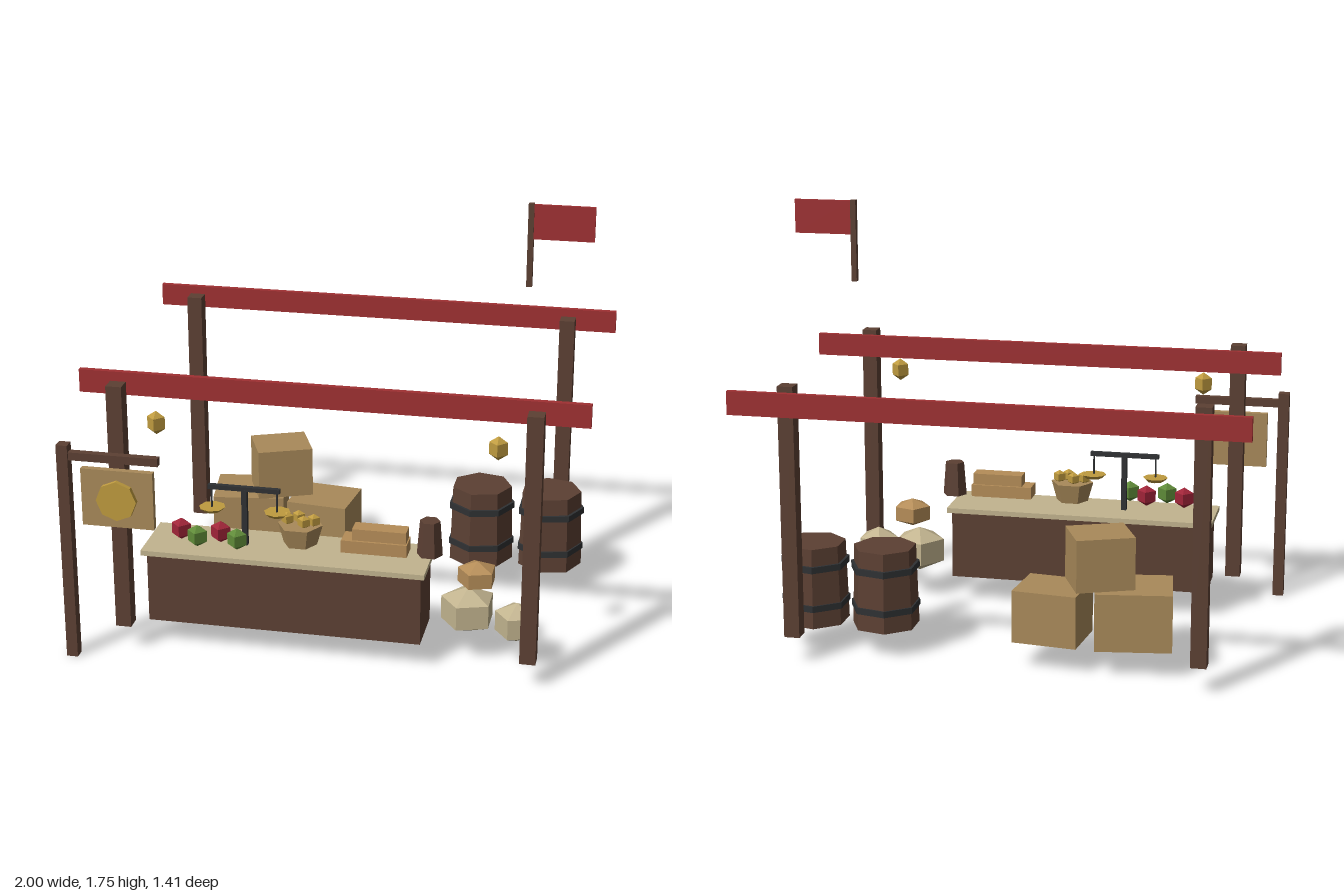
import * as THREE from 'three';

const mat = (name, color) => {
  const m = new THREE.MeshStandardMaterial({ color, flatShading: true });
  m.name = name;
  return m;
};

export function createModel() {
  const wood = mat('dark wood', 0x5c4033);
  const red = mat('red cloth', 0x9f3032);
  const linen = mat('linen', 0xc2b48f);
  const crateTan = mat('crate tan', 0xa98a5a);
  const crust = mat('crust', 0xb58d58);
  const gold = mat('gold', 0xbf9b3f);
  const iron = mat('iron', 0x2f3133);
  const appleRed = mat('apple red', 0xa02438);
  const green = mat('apple green', 0x5f8a38);

  const model = new THREE.Group();
  model.name = 'marketStall';
  const add = (name, geo, material, x, y, z, ry = 0) => {
    const m = new THREE.Mesh(geo, material);
    m.name = name;
    m.position.set(x, y, z);
    m.rotation.y = ry;
    model.add(m);
    return m;
  };
  // Box given by its x and y ranges and its z centre and depth
  const box = (name, material, x0, x1, y0, y1, z, d, ry = 0) =>
    add(name, new THREE.BoxGeometry(x1 - x0, y1 - y0, d), material, (x0 + x1) / 2, (y0 + y1) / 2, z, ry);
  // Faceted ball with two rings, given by ring radius and half height
  const ball = (name, material, x, y, z, ring, half, sides, ry = 0) => {
    const geo = new THREE.SphereGeometry(1, sides, 3);
    geo.scale(ring / 0.866, half, ring / 0.866);
    return add(name, geo, material, x, y, z, ry);
  };
  // Tapered prism standing on y
  const prism = (name, material, x, y, z, top, bottom, h, sides, ry = 0) =>
    add(name, new THREE.CylinderGeometry(top, bottom, h, sides), material, x, y + h / 2, z, ry);

  // Stall frame
  for (const x of [-0.79, 0.81])
    for (const z of [0.577, -0.55]) box('post', wood, x - 0.031, x + 0.031, 0.107, 1.115, z, 0.062);
  for (const z of [0.437, -0.69]) box('awningRail', red, -0.98, 1, 1.024, 1.116, z, 0.023);
  for (const x of [-0.65, 0.668]) ball('lantern', gold, x, 0.952, 0.53, 0.035, 0.048, 4);

  // Counter
  box('counterBody', wood, -0.708, 0.383, 0.107, 0.395, 0.413, 0.232);
  box('counterTop', linen, -0.727, 0.4, 0.395, 0.416, 0.413, 0.278);

  // Hanging sign
  box('signPost', wood, -1, -0.955, 0, 0.895, 0.672, 0.046);
  box('signArm', wood, -0.978, -0.602, 0.834, 0.866, 0.672, 0.03);
  box('signBoard', crateTan, -0.91, -0.625, 0.57, 0.803, 0.671, 0.026);
  const coin = add('signDisc', new THREE.CylinderGeometry(0.08, 0.08, 0.023, 8), gold, -0.767, 0.685, 0.6925);
  coin.rotation.x = Math.PI / 2;

  // Flag
  box('flagPole', wood, 0.695, 0.717, 1.425, 1.753, 0.016, 0.023);
  box('flag', red, 0.717, 0.95, 1.614, 1.75, 0.016, 0.012);

  // Fruit
  [-0.59, -0.51, -0.43, -0.35].forEach((x, i) =>
    ball('apple', i % 2 ? green : appleRed, x, 0.475, i % 2 ? 0.495 : 0.44, 0.039, 0.045, 4));

  // Balance
  box('balancePole', iron, -0.349, -0.327, 0.416, 0.65, 0.412, 0.022);
  box('balanceBeam', iron, -0.484, -0.195, 0.645, 0.663, 0.412, 0.02);
  for (const x of [-0.471, -0.208]) {
    box('balanceCord', iron, x - 0.003, x + 0.003, 0.565, 0.648, 0.412, 0.006);
    prism('balancePan', gold, x, 0.55, 0.408, 0.053, 0.036, 0.016, 8);
  }

  // Basket of gold fruit
  prism('basket', crateTan, -0.115, 0.444, 0.415, 0.09, 0.067, 0.082, 6, Math.PI / 2);
  for (const [x, z] of [[-0.165, 0.415], [-0.125, 0.39], [-0.095, 0.44], [-0.06, 0.415]])
    ball('basketFruit', gold, x, 0.545, z, 0.024, 0.028, 4);

  // Stacked loaves and mug
  box('lowerLoaf', crust, 0.058, 0.317, 0.444, 0.495, 0.425, 0.09);
  box('upperLoaf', crust, 0.1, 0.312, 0.495, 0.542, 0.425, 0.07);
  prism('mug', wood, 0.398, 0.442, 0.412, 0.04, 0.051, 0.142, 6, Math.PI / 2);

  // Barrels with iron hoops
  for (const x of [0.496, 0.788]) {
    prism('barrel', wood, x, 0.107, -0.34, 0.126, 0.136, 0.325, 7, Math.PI / 2);
    for (const y of [0.176, 0.337]) prism('barrelHoop', iron, x, y, -0.34, 0.14, 0.14, 0.026, 7, Math.PI / 2);
  }

  // Crates
  box('leftCrate', crateTan, -0.655, -0.355, 0.107, 0.338, -0.338, 0.255, 0.145);
  box('rightCrate', crateTan, -0.315, -0.055, 0.107, 0.318, -0.35, 0.232, -0.11);
  box('topCrate', crateTan, -0.488, -0.256, 0.338, 0.548, -0.35, 0.206, 0.4);

  // Sacks
  ball('largeSack', linen, 0.547, 0.2, 0.367, 0.108, 0.096, 5);
  ball('smallSack', linen, 0.745, 0.187, 0.417, 0.086, 0.082, 5);
  ball('topSack', crust, 0.582, 0.356, 0.385, 0.077, 0.06, 5);

  return model;
}
